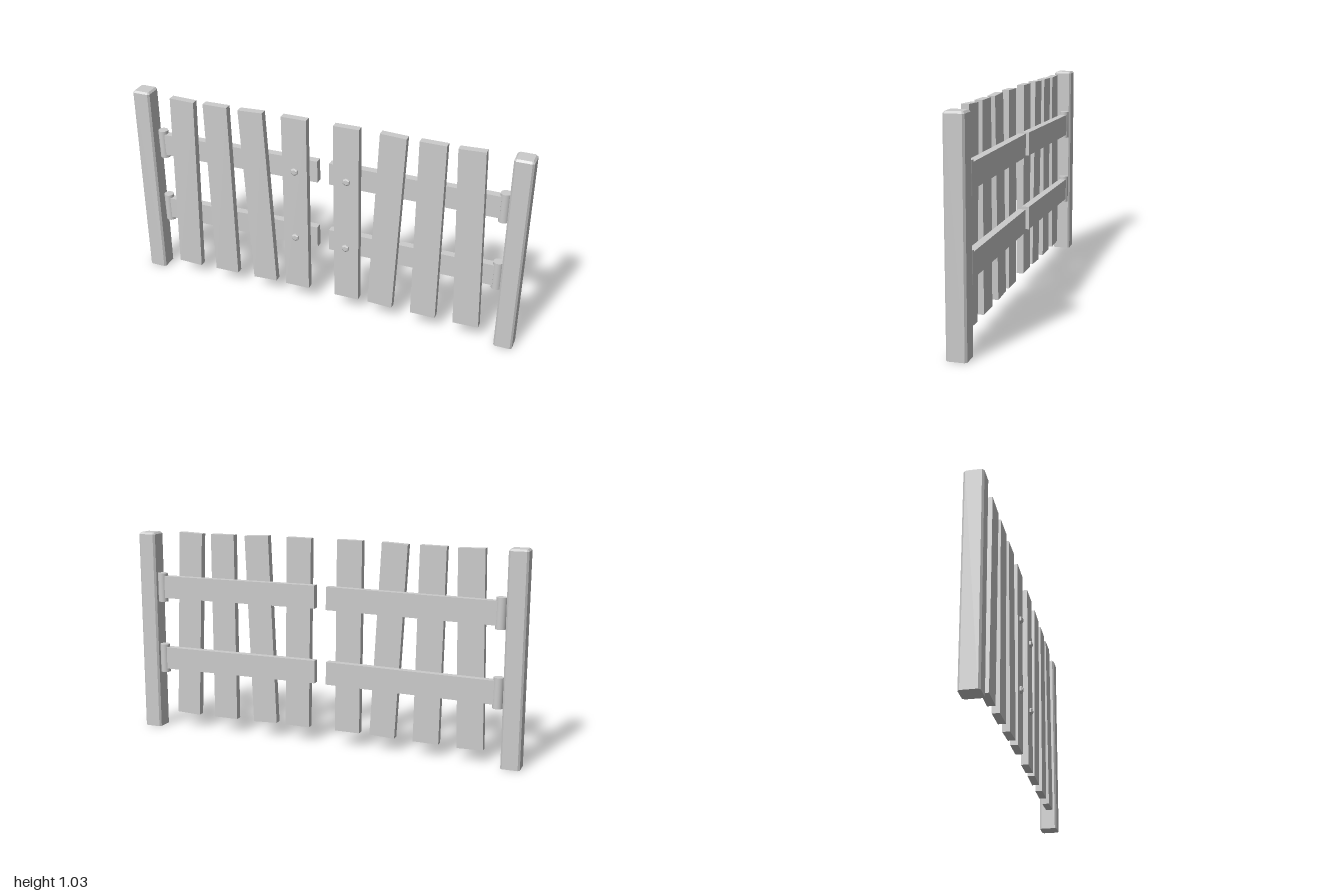
import * as THREE from 'three';

const material = new THREE.MeshStandardMaterial({ color: 0xcccccc, flatShading: true });
const smooth = new THREE.MeshStandardMaterial({ color: 0xcccccc });

function add(parent, name, geometry, x, y, z, tilt = 0, mat = material) {
  const mesh = new THREE.Mesh(geometry, mat);
  mesh.name = name;
  mesh.position.set(x, y, z);
  mesh.rotation.z = tilt;
  parent.add(mesh);
  return mesh;
}

// Square post with chamfered upright edges and a bevelled top
function postGeometry(half, height, bevel) {
  const ring = (h, c, y) => [
    [h, h - c], [h - c, h], [c - h, h], [-h, h - c],
    [-h, c - h], [c - h, -h], [h - c, -h], [h, c - h],
  ].map(([x, z]) => new THREE.Vector3(x, y, z));
  const rings = [
    ring(half, bevel, 0),
    ring(half, bevel, height - bevel),
    ring(half - bevel, bevel * 0.5, height),
  ];
  const points = [];
  for (let i = 0; i < 8; i++) {
    const j = (i + 1) % 8;
    for (let k = 0; k < 2; k++) {
      const [a, b, c, d] = [rings[k][i], rings[k][j], rings[k + 1][j], rings[k + 1][i]];
      points.push(a, c, b, a, d, c);
    }
    points.push(new THREE.Vector3(0, 0, 0), rings[0][i], rings[0][j]);
    points.push(new THREE.Vector3(0, height, 0), rings[2][j], rings[2][i]);
  }
  const geometry = new THREE.BufferGeometry().setFromPoints(points);
  geometry.computeVertexNormals();
  return geometry;
}

// Hexagonal bolt head with a chamfered rim and a raised round centre
function addBolt(parent, x, y) {
  const bolt = new THREE.Group();
  bolt.name = 'bolt';
  bolt.position.set(x, y, 0.034);
  bolt.rotation.x = Math.PI / 2;
  add(bolt, 'boltHead', new THREE.CylinderGeometry(0.02, 0.02, 0.01, 6), 0, 0.005, 0);
  add(bolt, 'boltChamfer', new THREE.CylinderGeometry(0.013, 0.02, 0.004, 6), 0, 0.012, 0);
  add(bolt, 'boltCentre', new THREE.CylinderGeometry(0.01, 0.01, 0.003, 12), 0, 0.0145, 0);
  parent.add(bolt);
}

// Each plank: top centre x, top y, bottom centre x, bottom y
const leaves = [
  {
    name: 'rightGate', side: -1, tilt: 0.018, railY: [0.741, 0.368], hingeY: [0.733, 0.359],
    planks: [
      [-0.73, 1.02, -0.751, 0.062], [-0.55, 1.023, -0.533, 0.067],
      [-0.363, 1.026, -0.311, 0.073], [-0.137, 1.031, -0.129, 0.076],
    ],
  },
  {
    name: 'leftGate', side: 1, tilt: 0, railY: [0.751, 0.376], hingeY: [0.748, 0.374],
    planks: [
      [0.126, 1.032, 0.14, 0.077], [0.355, 1.032, 0.318, 0.077],
      [0.543, 1.031, 0.543, 0.075], [0.722, 1.032, 0.762, 0.077],
    ],
  },
];

export function createModel() {
  const model = new THREE.Group();
  model.name = 'picketGate';

  const post = postGeometry(0.046, 1.03, 0.009);
  for (const leaf of leaves) {
    const { side, tilt } = leaf;
    add(model, side < 0 ? 'rightPost' : 'leftPost', post, side * 0.954, 0, -0.003);

    const gate = new THREE.Group();
    gate.name = leaf.name;
    model.add(gate);

    // Rails, hinge barrels and bolts
    for (let i = 0; i < 2; i++) {
      add(gate, 'rail', new THREE.BoxGeometry(0.835, 0.114, 0.037), side * 0.448, leaf.railY[i], -0.0185, tilt);
      const barrel = new THREE.CylinderGeometry(0.025, 0.025, 0.148, 20);
      add(gate, 'hinge', barrel, side * 0.881, leaf.hingeY[i], -0.02, tilt, smooth);
      addBolt(gate, side * 0.134, [0.75, 0.375][i]);
    }

    // Uneven upright planks
    for (const [topX, topY, bottomX, bottomY] of leaf.planks) {
      const dx = topX - bottomX, dy = topY - bottomY;
      add(gate, 'plank', new THREE.BoxGeometry(0.128, Math.hypot(dx, dy), 0.036),
        (topX + bottomX) / 2, (topY + bottomY) / 2, 0.018, -Math.atan2(dx, dy));
    }
  }
  return model;
}
